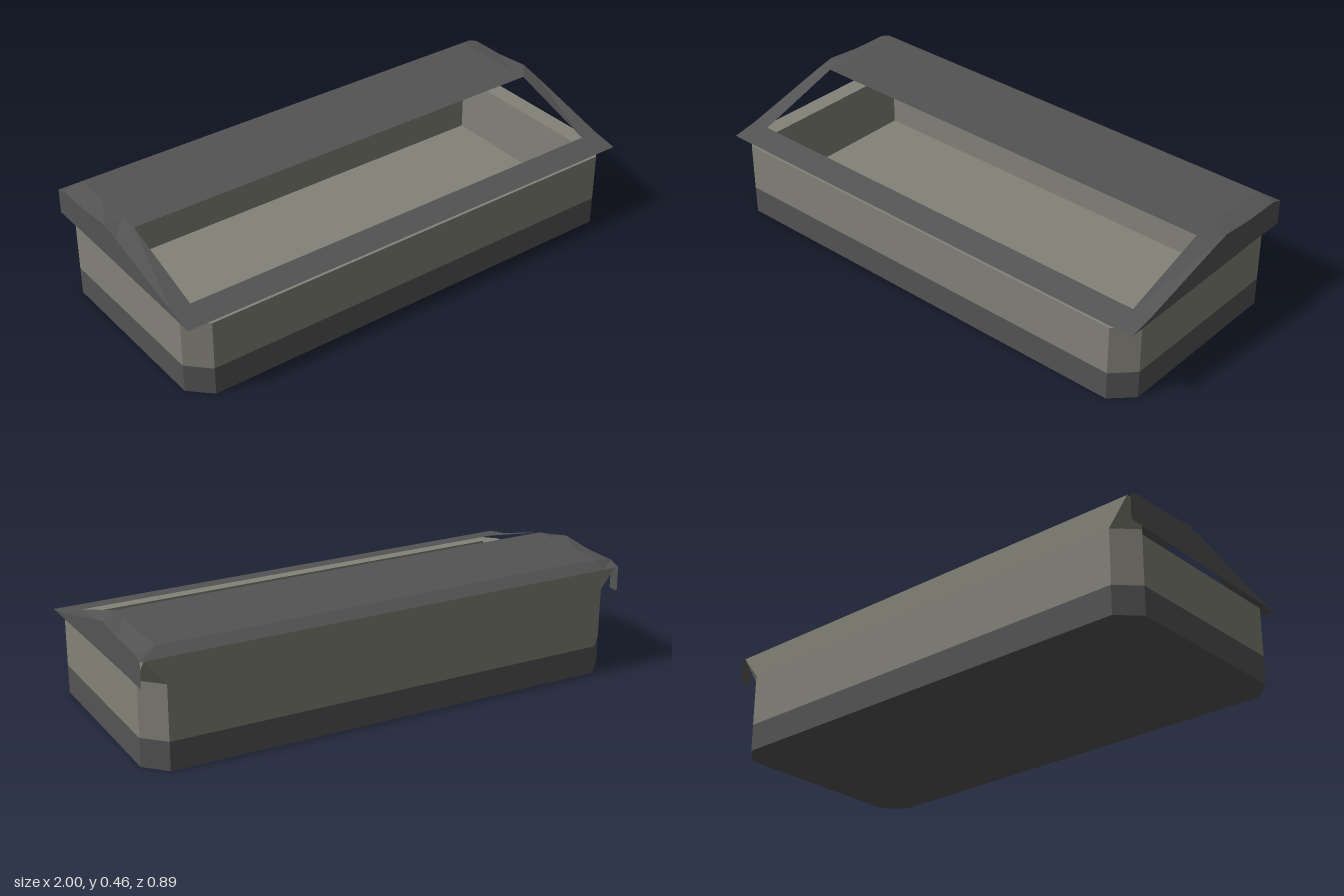
import * as THREE from 'three';
import { ConvexGeometry } from 'three/addons/geometries/ConvexGeometry.js';

const W = 0.985, D = 0.445, CH = 0.08;   // body half width, half depth, corner cut
const IX = 0.91, IZ = 0.37;              // inner half sizes

// Plan outline with cut corners
function outline(w, d, c) {
  const p = c
    ? [[w - c, -d], [w, -d + c], [w, d - c], [w - c, d], [-w + c, d], [-w, d - c], [-w, -d + c], [-w + c, -d]]
    : [[w, -d], [w, d], [-w, d], [-w, -d]];
  return p.map(([x, y]) => new THREE.Vector2(x, y));
}

// Upright slab or ring between two heights
function slab(y0, y1, outer, hole) {
  const shape = new THREE.Shape(outer);
  if (hole) shape.holes.push(new THREE.Path(hole.slice().reverse()));
  const g = new THREE.ExtrudeGeometry(shape, { depth: y1 - y0, bevelEnabled: false });
  g.rotateX(-Math.PI / 2);
  g.translate(0, y0, 0);
  return g;
}

// Sheet made from a list of four-cornered faces
function sheet(quads) {
  const pos = [];
  for (const [a, b, c, d] of quads) pos.push(...a, ...b, ...c, ...a, ...c, ...d);
  const g = new THREE.BufferGeometry();
  g.setAttribute('position', new THREE.Float32BufferAttribute(pos, 3));
  g.computeVertexNormals();
  return g;
}

export function createModel() {
  const model = new THREE.Group();
  model.name = 'openBin';
  const light = new THREE.MeshStandardMaterial({ color: 0x828278 });
  light.name = 'warm grey';
  const dark = new THREE.MeshStandardMaterial({ color: 0x545454, side: THREE.DoubleSide });
  dark.name = 'dark grey';
  const darkOneSided = new THREE.MeshStandardMaterial({ color: 0x545454 });
  darkOneSided.name = 'dark grey side';

  const add = (name, geo, mat) => {
    const m = new THREE.Mesh(geo, mat);
    m.name = name;
    model.add(m);
  };

  const body = outline(W, D, CH);

  // Dark foot, light upper walls
  add('foot', slab(0, 0.06, body), darkOneSided);
  add('footWall', slab(0.06, 0.113, body, outline(IX + 0.004, IZ + 0.004, 0)), darkOneSided);
  add('upperWall', slab(0.113, 0.31, body, outline(IX, IZ, 0)), light);

  // Light lining of the tray
  add('trayFloor', slab(0.061, 0.07, outline(IX + 0.003, IZ + 0.003, 0)), light);
  add('trayLining', slab(0.07, 0.113, outline(IX + 0.003, IZ + 0.003, 0), outline(IX, IZ, 0)), light);

  // Raised back wall, flaring from cut corners to square ones under the lid
  const level = (y, flare) => [-1, 1].flatMap(s => [
    new THREE.Vector3(s * (flare ? W : W - CH), y, -D + 0.001 * flare),
    new THREE.Vector3(s * W, y, -D + CH),
    new THREE.Vector3(s * IX, y, -IZ),
  ]);
  add('backWall', new ConvexGeometry([...level(0.31, 0), ...level(0.33, 0)]), light);
  add('backWallTop', new ConvexGeometry([...level(0.33, 0), ...level(0.43, 1)]), light);

  // Lid rows from front to back: z, height at middle, height at ends
  const rows = [
    [0.445, 0.32, 0.32], [0.34, 0.34, 0.34], [-0.02, 0.46, 0.439], [-0.1, 0.46, 0.458],
    [-0.25, 0.46, 0.445], [-0.4, 0.46, 0.445], [-0.445, 0.43, 0.43],
  ];
  const cols = [-1, -0.925, 0.925, 1];
  const vert = (r, c) => [cols[c], c % 3 ? rows[r][1] : rows[r][2], rows[r][0]];
  const lower = (r, x) => [x, 0.32 + 0.01 * Math.min(1, (0.445 - rows[r][0]) / 0.7), rows[r][0]];
  const top = [], ends = [], returns = [];
  for (let r = 0; r < rows.length - 1; r++) {
    for (let c = 0; c < 3; c++) {
      if (r === 1 && c === 1) continue;   // opening
      top.push([vert(r, c), vert(r, c + 1), vert(r + 1, c + 1), vert(r + 1, c)]);
    }
    ends.push([lower(r, 1), lower(r + 1, 1), vert(r + 1, 3), vert(r, 3)]);
    ends.push([vert(r, 0), vert(r + 1, 0), lower(r + 1, -1), lower(r, -1)]);
  }
  add('lid', sheet(top), dark);
  add('lidEnds', sheet(ends), darkOneSided);

  // Inner faces of the lid ends at the back corners
  for (const q of ends.slice(-2)) returns.push(q.slice().reverse());
  add('lidEndReturns', sheet(returns), darkOneSided);

  return model;
}
